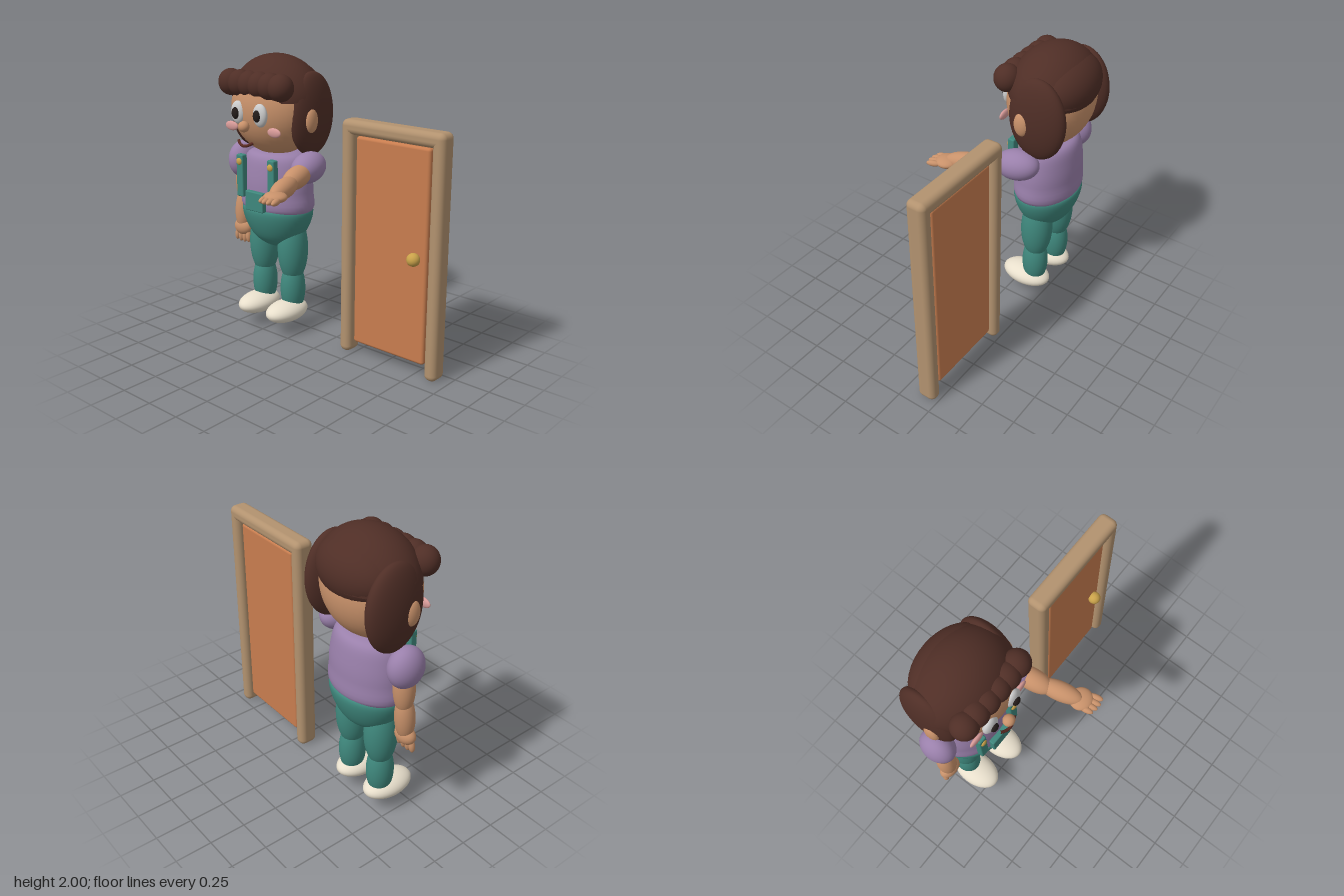
import * as THREE from 'three';
import { RoundedBoxGeometry } from 'three/addons/geometries/RoundedBoxGeometry.js';

const mat = (color) => new THREE.MeshStandardMaterial({ color });
const M = {
  skin: mat(0xc8916a), hair: mat(0x4f2e26), shirt: mat(0x9a80ab), pants: mat(0x3f887d),
  shoe: mat(0xe8dfcc), gold: mat(0xc9a24a), pink: mat(0xd79a98), white: mat(0xf2f2f0),
  dark: mat(0x241c1a), lips: mat(0x5a2a22), door: mat(0xc87d4f), frame: mat(0xb2926f),
};
const ball = new THREE.SphereGeometry(1, 36, 24);

function add(parent, name, geometry, material, pos = [0, 0, 0], scale = [1, 1, 1]) {
  const mesh = new THREE.Mesh(geometry, material);
  mesh.name = name;
  mesh.position.set(...pos);
  mesh.scale.set(...scale);
  parent.add(mesh);
  return mesh;
}
const blob = (parent, name, material, pos, radii) => add(parent, name, ball, material, pos, radii);
const box = (parent, name, material, size, pos, r) =>
  add(parent, name, new RoundedBoxGeometry(...size, 4, r), material, pos);

// Ellipsoid stretched from point a to point b
function limb(parent, name, material, a, b, r) {
  const A = new THREE.Vector3(...a), B = new THREE.Vector3(...b);
  const dir = B.clone().sub(A);
  const mesh = blob(parent, name, material, A.clone().add(B).multiplyScalar(0.5).toArray(), [r, dir.length() / 2, r]);
  mesh.quaternion.setFromUnitVectors(new THREE.Vector3(0, 1, 0), dir.normalize());
  return mesh;
}

// Smooth turned body part, flattened in z
function turned(parent, name, material, pts, depth) {
  const curve = new THREE.SplineCurve(pts.map((p) => new THREE.Vector2(...p)));
  const profile = curve.getPoints(32).map((p) => p.setX(Math.max(p.x, 0)));
  return add(parent, name, new THREE.LatheGeometry(profile, 48), material, [0, 0, -0.18], [1, 1, depth]);
}

function buildHead() {
  const head = new THREE.Group();
  head.name = 'head';
  blob(head, 'face', M.skin, [0, 1.63, -0.175], [0.34, 0.33, 0.28]);
  blob(head, 'nose', M.skin, [0, 1.535, 0.142], [0.04, 0.038, 0.038]);
  for (const s of [-1, 1]) {
    blob(head, 'ear', M.skin, [s * 0.342, 1.575, -0.16], [0.034, 0.085, 0.055]);
    blob(head, 'eyeWhite', M.white, [s * 0.105, 1.615, 0.09], [0.06, 0.08, 0.034]);
    blob(head, 'pupil', M.dark, [s * 0.102, 1.613, 0.12], [0.03, 0.041, 0.022]);
    blob(head, 'cheek', M.pink, [s * 0.203, 1.505, 0.06], [0.06, 0.033, 0.016]);
    blob(head, 'sideHair', M.hair, [s * 0.275, 1.605, -0.235], [0.087, 0.29, 0.207]);
  }
  const smile = new THREE.QuadraticBezierCurve3(
    new THREE.Vector3(-0.07, 1.43, 0.125), new THREE.Vector3(0, 1.375, 0.17), new THREE.Vector3(0.07, 1.43, 0.125));
  add(head, 'mouth', new THREE.TubeGeometry(smile, 20, 0.01, 10), M.lips);

  // Hair cap, back volume and rolled fringe
  const cap = new THREE.SphereGeometry(1, 40, 16, 0, Math.PI * 2, 0, Math.PI / 2);
  const capMat = M.hair.clone();
  capMat.side = THREE.DoubleSide;
  add(head, 'hairCap', cap, capMat, [0, 1.7, -0.19], [0.35, 0.3, 0.28]);
  blob(head, 'backHair', M.hair, [0, 1.755, -0.275], [0.3, 0.2, 0.203]);
  for (let i = 0; i < 6; i++) {
    blob(head, 'fringe', M.hair, [-0.235 + i * 0.094, 1.805, 0.025], [0.09, 0.093, 0.088]);
  }
  return head;
}

function buildBody() {
  const body = new THREE.Group();
  body.name = 'body';
  turned(body, 'shirt', M.shirt, [[0, 0.88], [0.27, 0.9], [0.288, 1.05], [0.275, 1.18], [0.24, 1.29], [0.16, 1.325], [0, 1.33]], 0.73);
  turned(body, 'trousers', M.pants, [[0, 0.61], [0.1, 0.635], [0.2, 0.705], [0.265, 0.82], [0.277, 0.915], [0.2, 0.925], [0, 0.925]], 0.78);
  box(body, 'pocket', M.pants, [0.17, 0.14, 0.04], [0, 0.99, 0.045], 0.008);
  for (const s of [-1, 1]) {
    box(body, 'strap', M.pants, [0.063, 0.305, 0.05], [s * 0.15, 1.152, 0.025], 0.01);
    blob(body, 'button', M.gold, [s * 0.15, 1.255, 0.05], [0.025, 0.025, 0.014]);
    blob(body, 'thigh', M.pants, [s * 0.14, 0.62, -0.185], [0.108, 0.26, 0.113]);
    blob(body, 'shin', M.pants, [s * 0.14, 0.315, -0.183], [0.088, 0.2, 0.094]);
    blob(body, 'shoe', M.shoe, [s * 0.14, 0.157, -0.115], [0.117, 0.077, 0.185]);
  }
  return body;
}

// Arm hanging at the side
function buildRightArm() {
  const arm = new THREE.Group();
  arm.name = 'rightArm';
  blob(arm, 'sleeve', M.shirt, [-0.33, 1.21, -0.175], [0.098, 0.138, 0.127]);
  limb(arm, 'upperArm', M.skin, [-0.318, 1.24, -0.175], [-0.323, 0.87, -0.17], 0.07);
  limb(arm, 'forearm', M.skin, [-0.322, 1.0, -0.17], [-0.328, 0.66, -0.15], 0.066);
  blob(arm, 'palm', M.skin, [-0.325, 0.695, -0.15], [0.08, 0.063, 0.055]);
  for (let i = 0; i < 4; i++) {
    const t = i - 1.5;
    limb(arm, 'finger', M.skin, [-0.325 + t * 0.034, 0.68, -0.145], [-0.325 + t * 0.04, 0.575 + Math.abs(t) * 0.006, -0.14], 0.021);
  }
  return arm;
}

// Arm reaching forward, palm down
function buildLeftArm() {
  const arm = new THREE.Group();
  arm.name = 'leftArm';
  limb(arm, 'sleeve', M.shirt, [0.315, 1.275, -0.285], [0.36, 1.235, 0.015], 0.106);
  limb(arm, 'upperArm', M.skin, [0.35, 1.25, -0.12], [0.4, 1.195, 0.17], 0.074);
  limb(arm, 'forearm', M.skin, [0.388, 1.208, 0.06], [0.47, 1.175, 0.36], 0.066);
  blob(arm, 'palm', M.skin, [0.475, 1.17, 0.34], [0.08, 0.036, 0.078]);
  for (let i = 0; i < 4; i++) {
    const t = i - 1.5;
    limb(arm, 'finger', M.skin, [0.48 + t * 0.034, 1.165, 0.36], [0.502 + t * 0.037, 1.16, 0.47 - Math.abs(t) * 0.01], 0.021);
  }
  return arm;
}

function buildDoor() {
  const door = new THREE.Group();
  door.name = 'door';
  const z = -0.168;
  for (const x of [0.184, 0.886]) box(door, 'doorPost', M.frame, [0.09, 1.63, 0.135], [x, 0.82, z], 0.04);
  box(door, 'lintel', M.frame, [0.79, 0.1, 0.135], [0.535, 1.585, z], 0.04);
  box(door, 'doorPanel', M.door, [0.575, 1.44, 0.08], [0.535, 0.81, z], 0.02);
  blob(door, 'doorKnob', M.gold, [0.742, 0.81, -0.102], [0.044, 0.044, 0.044]);
  return door;
}

export function createModel() {
  const model = new THREE.Group();
  model.name = 'figureAndDoor';
  const figure = new THREE.Group();
  figure.name = 'figure';
  figure.position.x = -0.503;
  figure.add(buildHead(), buildBody(), buildRightArm(), buildLeftArm());
  model.add(figure, buildDoor());
  return model;
}
